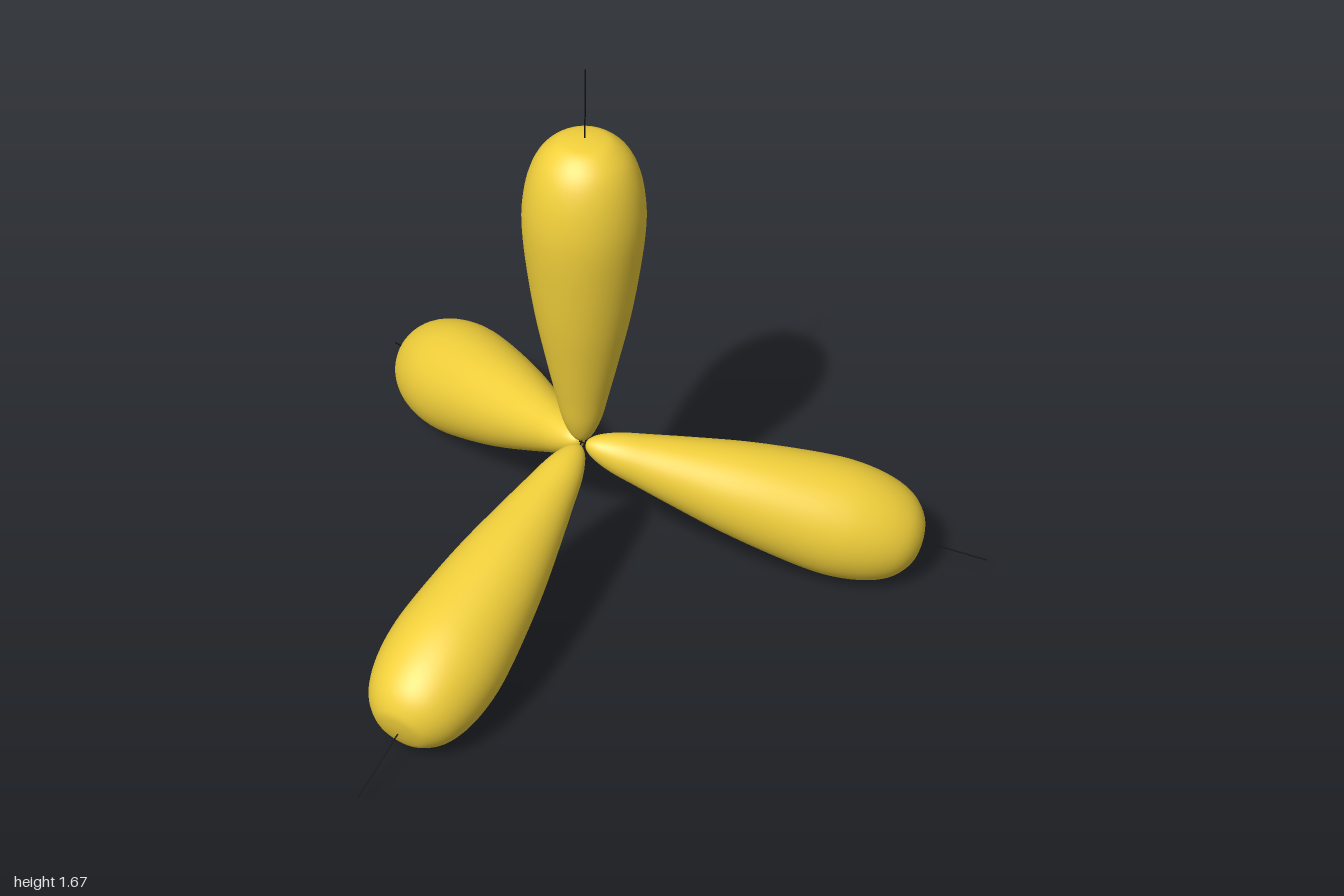
import * as THREE from 'three';

export function createModel() {
  const group = new THREE.Group();
  const yellow = new THREE.MeshStandardMaterial({ color: 0xf2d03b });
  const black = new THREE.MeshStandardMaterial({ color: 0x111111 });

  // Teardrop profile: [radius, distance from the centre]
  const profile = new THREE.SplineCurve([
    [0, 0.012], [0.016, 0.018], [0.036, 0.045], [0.057, 0.1], [0.075, 0.18],
    [0.101, 0.3], [0.131, 0.45], [0.153, 0.6], [0.166, 0.73], [0.164, 0.82],
    [0.149, 0.9], [0.122, 0.96], [0.08, 1.0], [0.04, 1.012], [0, 1.015],
  ].map(([r, d]) => new THREE.Vector2(r, d)));
  const points = profile.getPoints(70);
  points.forEach((p) => { p.x = Math.max(p.x, 0); });
  const lobeGeometry = new THREE.LatheGeometry(points, 48);

  // Thin axis from the centre out past the lobe tip
  const axisLength = 1.225;
  const axisGeometry = new THREE.CylinderGeometry(0.002, 0.002, axisLength, 8);
  axisGeometry.translate(0, axisLength / 2, 0);

  // Four tetrahedral directions: one up, three spread evenly below
  const arms = [['top', new THREE.Vector3(0, 1, 0)]];
  ['back', 'left', 'right'].forEach((name, i) => {
    const angle = Math.PI - i * Math.PI * 2 / 3;
    const spread = Math.sqrt(8) / 3;
    arms.push([name, new THREE.Vector3(Math.sin(angle) * spread, -1 / 3, Math.cos(angle) * spread)]);
  });

  const up = new THREE.Vector3(0, 1, 0);
  for (const [name, direction] of arms) {
    const arm = new THREE.Group();
    arm.name = name + 'Arm';
    const lobe = new THREE.Mesh(lobeGeometry, yellow);
    lobe.name = name + 'Lobe';
    const axis = new THREE.Mesh(axisGeometry, black);
    axis.name = name + 'Axis';
    arm.add(lobe, axis);
    arm.quaternion.setFromUnitVectors(up, direction);
    arm.position.set(0, 0.437, 0.289);
    group.add(arm);
  }
  return group;
}
